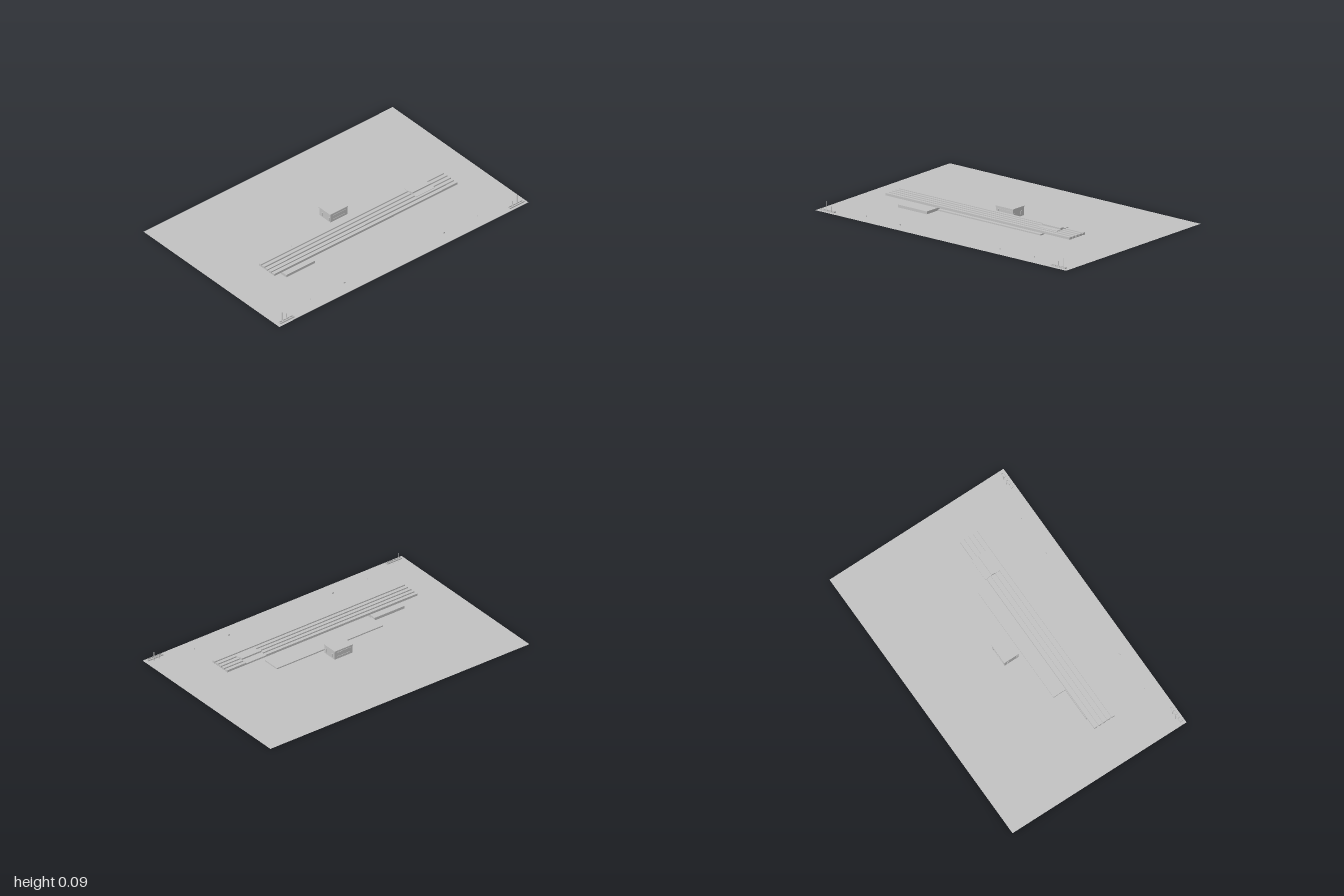
import * as THREE from 'three';

const grey = new THREE.MeshStandardMaterial({ color: 0xc0c0c0 });
grey.name = 'concreteGrey';
const sheetGrey = new THREE.MeshStandardMaterial({ color: 0xc0c0c0, side: THREE.DoubleSide });
sheetGrey.name = 'groundGrey';

export function createModel() {
  const root = new THREE.Group();
  root.name = 'siteModel';

  // Box given by its lower and upper limits on each axis
  function box(parent, name, x0, x1, y0, y1, z0, z1) {
    const mesh = new THREE.Mesh(new THREE.BoxGeometry(x1 - x0, y1 - y0, z1 - z0), grey);
    mesh.position.set((x0 + x1) / 2, (y0 + y1) / 2, (z0 + z1) / 2);
    mesh.name = name;
    parent.add(mesh);
    return mesh;
  }
  function group(name) {
    const g = new THREE.Group();
    g.name = name;
    root.add(g);
    return g;
  }

  // Ground sheet
  const ground = new THREE.Mesh(new THREE.PlaneGeometry(2, 1.29).rotateX(-Math.PI / 2), sheetGrey);
  ground.name = 'ground';
  root.add(ground);

  // Rows of flat bays behind the buildings
  const bays = group('parkingBays');
  const bayGeometry = new THREE.PlaneGeometry(0.014, 0.018).rotateX(-Math.PI / 2);
  for (let i = 0; i < 30; i++) {
    for (let j = 0; j < 6; j++) {
      const bay = new THREE.Mesh(bayGeometry, sheetGrey);
      bay.name = 'bay';
      bay.position.set(-0.76 + i * 0.051, 0.0015, -0.325 + j * 0.0215);
      bays.add(bay);
    }
  }

  // Low platform and side block
  box(root, 'platform', -0.41, 0.41, 0.003, 0.011, 0.06, 0.18);
  box(root, 'sideBlock', -0.64, -0.41, 0.004, 0.022, 0.145, 0.285);

  // Central pavilion with framed openings on all four sides
  const pavilion = group('pavilion');
  box(pavilion, 'pavilionBody', -0.07, 0.066, 0.008, 0.068, -0.073, 0.03);
  box(pavilion, 'pavilionRoof', -0.074, 0.068, 0.062, 0.069, -0.077, 0.033);
  for (const z of [-0.0745, 0.0315]) {
    box(pavilion, 'windowSill', -0.055, 0.05, 0.022, 0.026, z - 0.0015, z + 0.0015);
    box(pavilion, 'windowHead', -0.055, 0.05, 0.05, 0.054, z - 0.0015, z + 0.0015);
    for (const x of [-0.055, 0.046]) {
      box(pavilion, 'windowJamb', x, x + 0.004, 0.026, 0.05, z - 0.0015, z + 0.0015);
    }
  }
  for (const x of [-0.0715, 0.0675]) {
    for (const z of [-0.055, 0.012]) {
      box(pavilion, 'sideWindow', x - 0.0015, x + 0.0015, 0.02, 0.042, z, z + 0.014);
    }
  }

  // Long raised deck made of slats over a thin sheet
  const deck = group('longDeck');
  box(deck, 'deckSheet', -0.735, 0.73, 0.064, 0.07, 0.14, 0.288);
  for (let i = 0; i < 5; i++) {
    const z = 0.14 + i * 0.032;
    box(deck, 'deckSlat', -0.738, 0.732, 0.063, 0.078, z, z + 0.02);
  }

  // Small rooftop unit
  const rooftop = group('rooftopUnit');
  box(rooftop, 'rooftopPlate', 0.44, 0.59, 0.077, 0.081, 0.13, 0.24);
  box(rooftop, 'rooftopBox', 0.44, 0.59, 0.08, 0.091, 0.178, 0.204);

  // Corner barriers with poles, mirrored left and right
  for (const side of [-1, 1]) {
    const corner = group(side < 0 ? 'rightCorner' : 'leftCorner');
    const rail = (name, cx, w, y0, y1, z0, z1) =>
      box(corner, name, side * cx - w / 2, side * cx + w / 2, y0, y1, z0, z1);
    rail('frontRail', 0.922, 0.114, 0.003, 0.011, 0.628, 0.631);
    rail('backRail', 0.922, 0.114, 0.003, 0.011, 0.612, 0.615);
    for (let i = 0; i < 5; i++) {
      rail('crossRail', 0.867 + i * 0.0275, 0.003, 0.003, 0.011, 0.612, 0.631);
    }
    rail('tallPole', 0.943, 0.003, 0, 0.061, 0.602, 0.605);
    rail('shortPole', 0.905, 0.0025, 0, 0.034, 0.602, 0.6045);
    // Small ground markers near the front edge
    rail('groundMarker', 0.4, 0.012, 0, 0.008, 0.553, 0.557);
    rail('markerPost', 0.67, 0.003, 0, 0.011, 0.553, 0.556);
  }

  return root;
}
